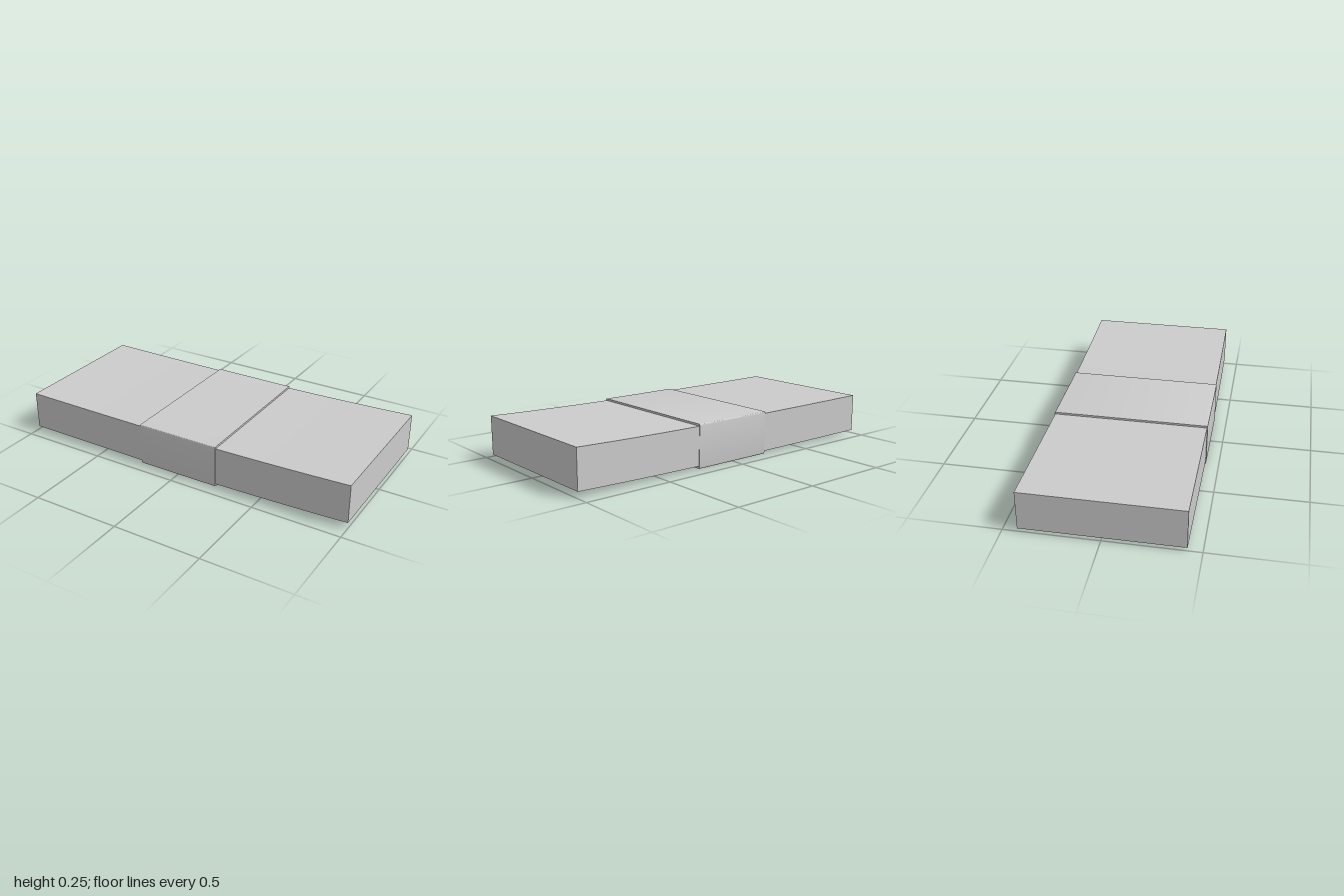
import * as THREE from 'three';
import { toCreasedNormals } from 'three/addons/utils/BufferGeometryUtils.js';

const HEIGHT = 0.217, HALF_DEPTH = 0.4235;

// Gentle warp of the bundle: the +x end curls up and swings back
function bend(geometry) {
  const p = geometry.attributes.position;
  for (let i = 0; i < p.count; i++) {
    const x = p.getX(i);
    const right = Math.max(0, (x - 0.1) / 0.9), left = Math.max(0, (-x - 0.2) / 0.8);
    p.setY(i, p.getY(i) + 0.015 + 0.02 * right ** 1.7 + 0.003 * left ** 2);
    p.setZ(i, p.getZ(i) + 0.003 - 0.008 * right ** 1.5 - 0.002 * left);
  }
  return toCreasedNormals(geometry, 0.5);
}

// Rectangle with rounded corners in the z-y plane
function roundedRect(halfWidth, y0, y1, r) {
  const s = new THREE.Shape(), w = halfWidth;
  s.moveTo(-w + r, y0);
  s.lineTo(w - r, y0);
  s.quadraticCurveTo(w, y0, w, y0 + r);
  s.lineTo(w, y1 - r);
  s.quadraticCurveTo(w, y1, w - r, y1);
  s.lineTo(-w + r, y1);
  s.quadraticCurveTo(-w, y1, -w, y1 - r);
  s.lineTo(-w, y0 + r);
  s.quadraticCurveTo(-w, y0, -w + r, y0);
  return s;
}

export function createModel() {
  const group = new THREE.Group();
  const material = new THREE.MeshStandardMaterial({ color: 0xcccccc });
  const add = (name, geometry) => {
    const mesh = new THREE.Mesh(bend(geometry), material);
    mesh.name = name;
    group.add(mesh);
  };

  // Stack of paper sheets
  const stack = new THREE.BoxGeometry(2, HEIGHT, HALF_DEPTH * 2, 40, 1, 1);
  stack.translate(0, HEIGHT / 2, 0);
  add('paperStack', stack);

  // Wrapping band: a thin sleeve around the middle
  const sleeve = roundedRect(0.427, -0.015, HEIGHT + 0.011, 0.008);
  const hole = new THREE.Path();
  hole.moveTo(-HALF_DEPTH + 0.001, 0.001);
  hole.lineTo(-HALF_DEPTH + 0.001, HEIGHT - 0.001);
  hole.lineTo(HALF_DEPTH - 0.001, HEIGHT - 0.001);
  hole.lineTo(HALF_DEPTH - 0.001, 0.001);
  hole.closePath();
  sleeve.holes.push(hole);
  const band = new THREE.ExtrudeGeometry(sleeve, { depth: 0.48, steps: 10, bevelEnabled: false, curveSegments: 4 });
  band.translate(0, 0, -0.24);
  band.rotateY(Math.PI / 2);
  add('wrappingBand', band);

  return group;
}
